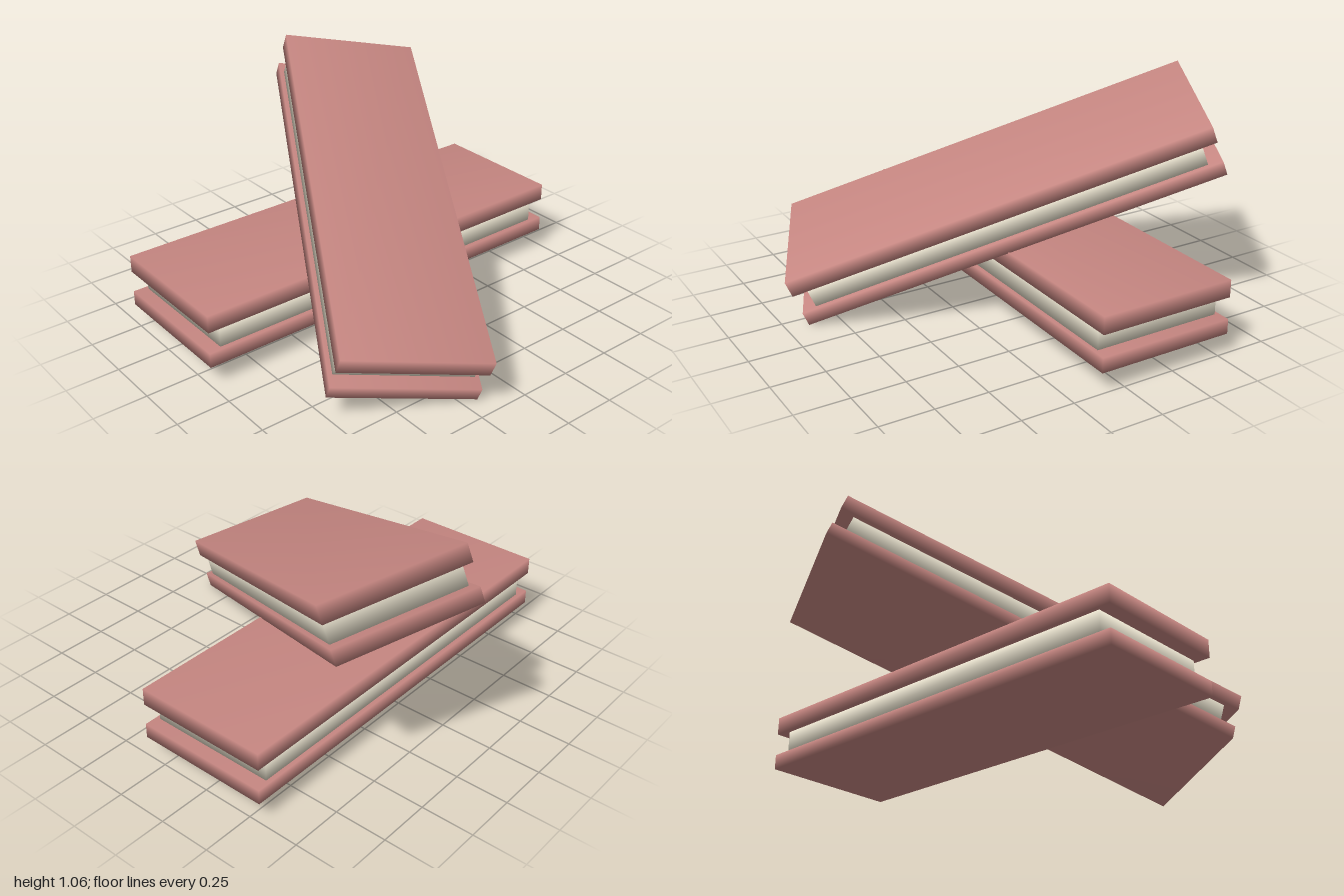
import * as THREE from 'three';
import { mergeVertices } from 'three/addons/utils/BufferGeometryUtils.js';

const biscuitMaterial = new THREE.MeshStandardMaterial({ color: 0xc48580 });
const creamMaterial = new THREE.MeshStandardMaterial({ color: 0xeae3cf });

// Box with shared corners, so the narrow sides shade softly between the large faces
function softBox(width, height, length) {
  const box = new THREE.BoxGeometry(width, height, length);
  box.deleteAttribute('normal');
  box.deleteAttribute('uv');
  const geometry = mergeVertices(box);
  geometry.computeVertexNormals();
  return geometry;
}

function layer(name, material, width, length, bottom, top) {
  const mesh = new THREE.Mesh(softBox(width, top - bottom, length), material);
  mesh.name = name;
  mesh.position.y = (bottom + top) / 2;
  return mesh;
}

// Two biscuit slabs with a slightly smaller cream filling, centred on the origin
function createWafer(name) {
  const wafer = new THREE.Group();
  wafer.name = name;
  wafer.add(
    layer('bottomBiscuit', biscuitMaterial, 0.66, 1.99, -0.128, -0.058),
    layer('creamFilling', creamMaterial, 0.62, 1.86, -0.058, 0.046),
    layer('topBiscuit', biscuitMaterial, 0.66, 1.99, 0.046, 0.128)
  );
  return wafer;
}

export function createModel() {
  const model = new THREE.Group();
  model.name = 'waferBiscuits';

  // Lying wafer
  const lower = createWafer('lowerWafer');
  lower.position.set(-0.22, 0.223, 0);

  // Wafer leaning across it: turned in its own plane, then tilted down to the left side
  const upper = createWafer('upperWafer');
  upper.rotation.set(0, 1.095, THREE.MathUtils.degToRad(-23.5), 'ZYX');
  upper.position.set(-0.003, 0.534, 0.016);

  model.add(lower, upper);
  return model;
}
